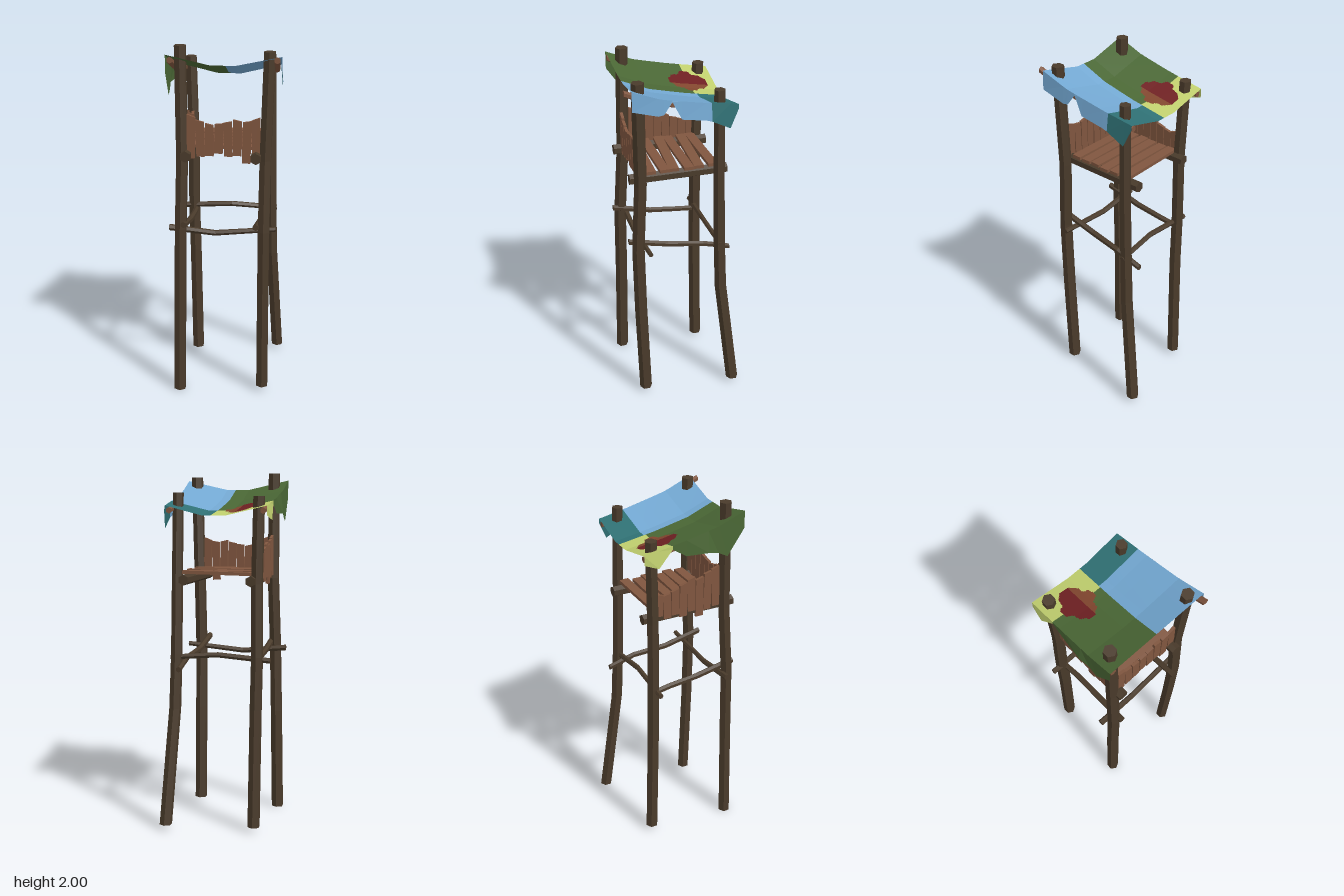
import * as THREE from 'three';

const mat = (name, color, extra = {}) => {
  const m = new THREE.MeshStandardMaterial({ color, flatShading: true, ...extra });
  m.name = name;
  return m;
};
const both = { side: THREE.DoubleSide };

// Piecewise-linear lookup in [position, value] pairs sorted by position
function lookup(pairs, p) {
  if (p <= pairs[0][0]) return pairs[0][1];
  for (let i = 1; i < pairs.length; i++) {
    const [a, va] = pairs[i - 1], [b, vb] = pairs[i];
    if (p <= b) return va + (vb - va) * (p - a) / (b - a);
  }
  return pairs[pairs.length - 1][1];
}

// Six-sided log through points that rise along one axis
function logGeometry(points, r0, r1, axis) {
  const n = points.length - 1;
  const g = new THREE.CylinderGeometry(1, 1, 1, 6, n);
  if (axis === 'z') g.rotateX(Math.PI / 2);
  if (axis === 'x') g.rotateZ(-Math.PI / 2);
  const pos = g.attributes.position, v = new THREE.Vector3();
  for (let i = 0; i < pos.count; i++) {
    v.fromBufferAttribute(pos, i);
    const k = Math.round((v[axis] + 0.5) * n);
    v[axis] = 0;
    v.multiplyScalar(r0 + (r1 - r0) * k / n).add(new THREE.Vector3(...points[k]));
    pos.setXYZ(i, v.x, v.y, v.z);
  }
  g.computeVertexNormals();
  return g;
}

// Quads grouped by material index
function quadGeometry(quads, count) {
  const data = [], g = new THREE.BufferGeometry();
  for (let m = 0; m < count; m++) {
    const start = data.length / 3;
    for (const { c, m: qm } of quads) {
      if (qm === m) for (const k of [0, 1, 2, 0, 2, 3]) data.push(...c[k]);
    }
    if (data.length / 3 > start) g.addGroup(start, data.length / 3 - start, m);
  }
  g.setAttribute('position', new THREE.Float32BufferAttribute(data, 3));
  g.computeVertexNormals();
  return g;
}

export function createModel() {
  const group = new THREE.Group();
  const bark = mat('dark bark', 0x4a3b2b);
  const wood = mat('plank wood', 0x80563f);
  const cloth = [
    mat('green cloth', 0x4a6735, both), mat('lime cloth', 0xc0cf6e, both),
    mat('blue cloth', 0x73a8d2, both), mat('teal cloth', 0x2f7074, both),
    mat('dark red patch', 0x6e2022, both), mat('rust patch', 0x81462e, both),
  ];
  const add = (name, geometry, material) => {
    const mesh = new THREE.Mesh(geometry, material);
    mesh.name = name;
    group.add(mesh);
    return mesh;
  };

  // Four crooked corner posts: top radius, then path
  const posts = {
    frontRightPost: [0.034, [[-0.255, 0, 0.265], [-0.245, 0.6, 0.257], [-0.236, 1, 0.255], [-0.225, 1.4, 0.232], [-0.228, 2, 0.22]]],
    frontLeftPost: [0.034, [[0.222, 0.03, 0.23], [0.222, 0.6, 0.25], [0.222, 1, 0.258], [0.225, 1.4, 0.24], [0.242, 1.98, 0.25]]],
    backRightPost: [0.033, [[-0.216, 0.03, -0.212], [-0.222, 0.7, -0.2], [-0.228, 1, -0.2], [-0.225, 1.4, -0.198], [-0.238, 1.87, -0.212]]],
    backLeftPost: [0.03, [[0.277, 0.03, -0.296], [0.24, 0.69, -0.218], [0.232, 1, -0.205], [0.228, 1.4, -0.195], [0.22, 1.89, -0.188]]],
  };
  for (const [name, [r, pts]] of Object.entries(posts)) add(name, logGeometry(pts, 0.036, r, 'y'), bark);

  // Crooked cross rails at mid height
  add('frontRail', logGeometry([[-0.305, 0.99, 0.222], [-0.05, 0.964, 0.215], [0.285, 0.995, 0.203]], 0.018, 0.014, 'x'), bark);
  add('backRail', logGeometry([[-0.3, 0.98, -0.19], [0, 1, -0.185], [0.265, 0.98, -0.205]], 0.016, 0.015, 'x'), bark);
  add('leftRail', logGeometry([[0.2, 0.922, -0.275], [0.2, 0.965, -0.12], [0.182, 0.985, 0.08], [0.182, 1.035, 0.302]], 0.016, 0.018, 'z'), bark);
  add('rightRail', logGeometry([[-0.218, 0.955, -0.21], [-0.21, 0.97, -0.09], [-0.21, 0.988, 0.08], [-0.213, 1.035, 0.302]], 0.016, 0.018, 'z'), bark);

  // Beams under the platform
  for (const [name, x] of [['leftBeam', 0.177], ['rightBeam', -0.2]]) {
    add(name, logGeometry([[x, 1.417, -0.25], [x, 1.417, 0.29]], 0.03, 0.031, 'z'), bark);
  }

  // Platform planks
  const turns = [0.03, -0.025, 0.02, -0.04, 0.025, -0.015];
  turns.forEach((turn, i) => {
    const p = add('platformPlank', new THREE.BoxGeometry(0.42 - (i % 2) * 0.02, 0.018, 0.054), wood);
    p.position.set(0.004 * (i % 3 - 1), 1.453, -0.162 + i * 0.067);
    p.rotation.set(0, turn, turn * 0.5);
  });

  // Uneven upright boards: top, bottom and slant of the top, one wall in front, one on the right
  const frontBoards = [
    [1.632, 1.4, -0.008], [1.605, 1.41, -0.006], [1.588, 1.415, -0.005], [1.592, 1.43, 0.003],
    [1.602, 1.415, 0.004], [1.612, 1.42, -0.005], [1.607, 1.38, 0.004], [1.622, 1.41, 0.008],
  ];
  const sideBoards = [
    [1.643, 1.42, -0.007], [1.625, 1.41, -0.006], [1.6, 1.38, -0.006], [1.61, 1.42, -0.005],
    [1.587, 1.4, -0.007], [1.563, 1.42, -0.006], [1.547, 1.41, -0.004], [1.556, 1.43, 0.006],
  ];
  const boards = (name, list, place) => list.forEach(([top, bottom, slant], i) => {
    const g = new THREE.BoxGeometry(0.045, top - bottom, 0.016);
    const pos = g.attributes.position;
    for (let k = 0; k < pos.count; k++) {
      if (pos.getY(k) > 0) pos.setY(k, pos.getY(k) + Math.sign(pos.getX(k)) * slant);
    }
    g.computeVertexNormals();
    const b = add(name, g, wood);
    place(b, i);
    b.position.y = (top + bottom) / 2;
    b.rotateZ(0.025 * ((i * 5) % 3 - 1));
  });
  boards('frontBoard', frontBoards, (b, i) => b.position.set(-0.175 + i * 0.05, 0, 0.24));
  boards('sideBoard', sideBoards, (b, i) => {
    b.position.set(-0.225, 0, 0.172 - i * 0.048);
    b.rotation.y = Math.PI / 2;
  });

  // Sagging patchwork canopy sheet
  const edge = [[-0.275, 1.82], [-0.07, 1.855], [0.14, 1.901], [0.3, 1.963], [0.34, 1.98]];
  const rightEdge = z => 0.27 + 0.037 * (z + 0.275) / 0.57;
  const sheet = (x, z) => {
    const flat = Math.max(0, Math.abs(x) - 0.065) / 0.23;
    const y = lookup(edge, z) - 0.053 * (1 - flat);
    const px = x > 0.015 ? 0.015 + (x - 0.015) * (rightEdge(z) - 0.015) / 0.28 : x;
    return [px, y, z - (z > 0 ? 0.014 * (1 - flat) * z / 0.295 : 0)];
  };
  const panel = (x, z) => {
    if (x > 0.015) return z < -0.128 ? 3 : 2;
    return z < -0.118 ? 1 : 0;
  };
  // Half width of the cross-shaped patch at each depth
  const patchHalf = [
    [-0.23, 0.028], [-0.205, 0.052], [-0.195, 0.063], [-0.16, 0.066], [-0.15, 0.094],
    [-0.1, 0.098], [-0.085, 0.066], [-0.045, 0.056], [-0.03, 0.03], [-0.015, 0.02],
  ];
  const colourAt = (x, z) => {
    if (z > -0.23 && z < -0.015 && Math.abs(x + 0.128) < lookup(patchHalf, z)) return x < -0.105 ? 4 : 5;
    return panel(x, z);
  };
  const quads = [], s = 0.005;
  for (let i = 0; i < 118; i++) {
    for (let j = 0; j < 114; j++) {
      const x = -0.295 + i * s, z = -0.275 + j * s;
      quads.push({
        c: [sheet(x, z), sheet(x, z + s), sheet(x + s, z + s), sheet(x + s, z)],
        m: colourAt(x + s / 2, z + s / 2),
      });
    }
  }
  add('canopySheet', quadGeometry(quads, 6), cloth);

  // Bars carrying the canopy, just beneath its side edges
  const bar = (name, x, depths) => add(name, logGeometry(depths.map(z => {
    const [px, y] = sheet(x, z);
    return [px, y - 0.022, z];
  }), 0.017, 0.018, 'z'), wood);
  bar('leftCanopyBar', 0.272, [-0.27, -0.07, 0.14, 0.3, 0.33]);
  bar('rightCanopyBar', -0.272, [-0.27, -0.07, 0.14, 0.293]);

  // Ragged flaps hanging from both sides: depth, drop and outward swing
  const flap = (name, side, drops) => {
    const list = [];
    for (let k = 1; k < drops.length; k++) {
      const [[a, b], [d, c]] = [drops[k - 1], drops[k]].map(([z, drop, out]) => {
        const top = sheet(side * 0.295, z);
        return [top, [top[0] + side * out, top[1] - drop, z]];
      });
      const zm = (drops[k - 1][0] + drops[k][0]) / 2;
      list.push({ c: side > 0 ? [a, d, c, b] : [a, b, c, d], m: panel(side * 0.2, zm) });
    }
    add(name, quadGeometry(list, 4), cloth.slice(0, 4));
  };
  flap('leftFlap', 1, [
    [-0.275, 0.025, 0.004], [-0.23, 0.132, 0.012], [-0.128, 0.097, 0.012], [-0.1, 0.092, 0.012], [0.035, 0.095, 0.01],
    [0.085, 0.008, 0.002], [0.13, 0.08, 0.006], [0.16, 0.093, 0.006], [0.295, 0.105, 0.003],
  ]);
  flap('rightFlap', -1, [
    [-0.275, 0.05, 0], [-0.2, 0.09, 0.012], [-0.118, 0.02, 0], [-0.04, 0.085, 0.002],
    [0.085, 0.115, 0.014], [0.145, 0.145, 0.003], [0.2, 0.195, 0.002], [0.295, 0.095, 0],
  ]);

  return group;
}
